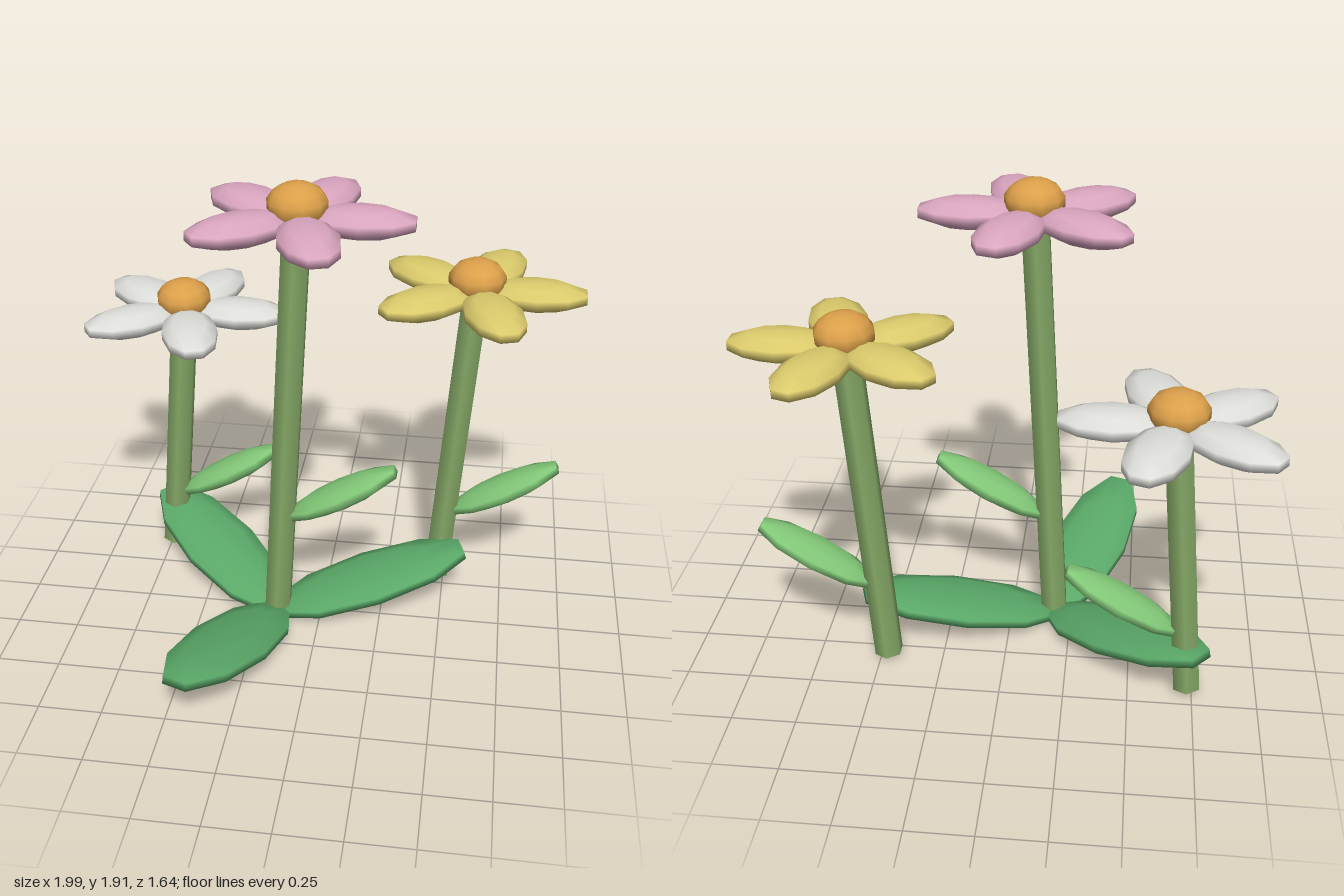
import * as THREE from 'three';

const mat = (name, color) => {
  const m = new THREE.MeshStandardMaterial({ color });
  m.name = name;
  return m;
};
const rad = THREE.MathUtils.degToRad;

export function createModel() {
  const root = new THREE.Group();
  root.name = 'flowers';

  const stemGreen = mat('stem green', 0x85a866);
  const leafGreen = mat('leaf green', 0x82c878);
  const baseGreen = mat('base leaf green', 0x5aa868);
  const centreOrange = mat('centre orange', 0xdca04a);
  const pink = mat('petal pink', 0xdba6c0);
  const yellow = mat('petal yellow', 0xdccb6c);
  const white = mat('petal white', 0xdededa);

  // Low-sided ellipsoid with blunt ends, its length along z
  const blade = new THREE.SphereGeometry(1, 10, 5);
  const dome = new THREE.SphereGeometry(1, 10, 7);

  function addMesh(parent, name, geometry, material, position, scale) {
    const mesh = new THREE.Mesh(geometry, material);
    mesh.name = name;
    mesh.position.set(...position);
    mesh.scale.set(...scale);
    mesh.rotation.order = 'YXZ';
    parent.add(mesh);
    return mesh;
  }

  // One flower: leaning stem, stem leaf, five petals and a domed centre
  function addFlower(name, x, y, z, petalColor) {
    const flower = new THREE.Group();
    flower.name = name;
    root.add(flower);

    const bottom = new THREE.Vector3(x - 0.1, 0.027, z);
    const top = new THREE.Vector3(x - 0.005, y - 0.047, z);
    const axis = top.clone().sub(bottom);
    const stem = addMesh(flower, 'stem', new THREE.CylinderGeometry(0.058, 0.058, axis.length(), 6),
      stemGreen, bottom.clone().lerp(top, 0.5).toArray(), [1, 1, 1]);
    stem.quaternion.setFromUnitVectors(new THREE.Vector3(0, 1, 0), axis.normalize());

    const leaf = addMesh(flower, 'stemLeaf', blade, leafGreen, [x + 0.168, y * 0.35, z], [0.097, 0.05, 0.27]);
    leaf.rotation.set(rad(-30), rad(90), 0);

    const head = new THREE.Group();
    head.name = 'head';
    head.position.set(x, y, z);
    flower.add(head);
    for (let i = 0; i < 5; i++) {
      const a = (i / 5) * Math.PI * 2;
      const petal = addMesh(head, 'petal', blade, petalColor,
        [Math.cos(a) * 0.23, 0, -Math.sin(a) * 0.23], [0.117, 0.056, 0.216]);
      petal.rotation.y = a + Math.PI / 2;
    }
    addMesh(head, 'flowerCentre', dome, centreOrange, [0, 0.053, 0], [0.115, 0.082, 0.115]);
  }

  addFlower('pinkFlower', -0.08, 1.78, 0.04, pink);
  addFlower('yellowFlower', 0.57, 1.38, -0.31, yellow);
  addFlower('whiteFlower', -0.63, 1.18, -0.41, white);

  // Three large leaves spreading from the foot of the tallest stem
  for (const deg of [109, 222, 342]) {
    const a = rad(deg);
    const leaf = addMesh(root, 'baseLeaf', blade, baseGreen,
      [-0.18 + Math.cos(a) * 0.4, 0.124, 0.04 + Math.sin(a) * 0.4], [0.172, 0.055, 0.455]);
    leaf.rotation.set(rad(-14.5), Math.PI / 2 - a, 0);
  }

  return root;
}
